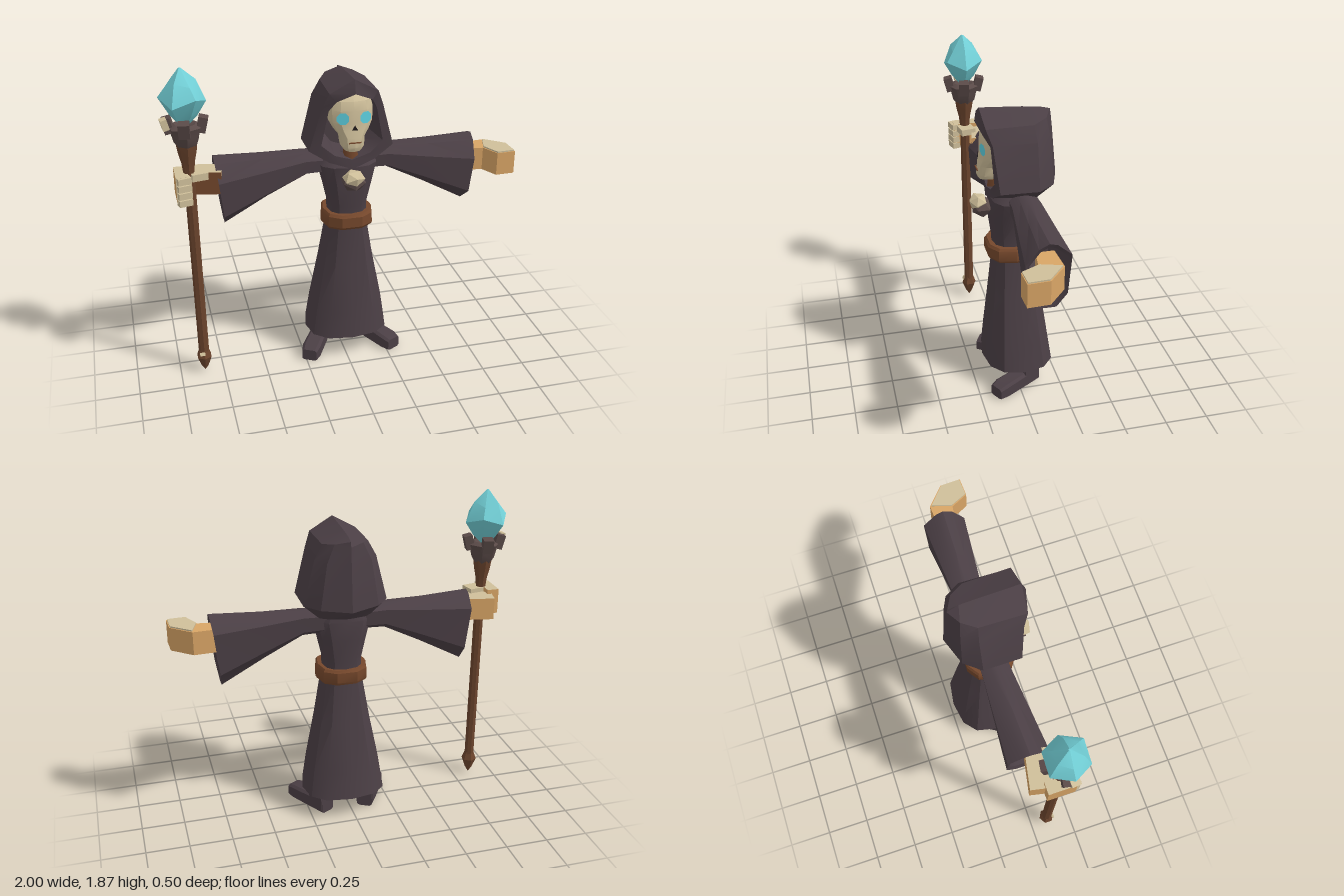
import * as THREE from 'three';
import { toCreasedNormals } from 'three/addons/utils/BufferGeometryUtils.js';

const CX = 0.03; // body centre line

function makeMaterial(name, color, side = THREE.FrontSide) {
  const m = new THREE.MeshStandardMaterial({ color, side });
  m.name = name;
  return m;
}

// Skin closed cross-section rings, optionally capped, always wound outward.
function loft(rings, { start = true, end = true, crease = 0.55 } = {}) {
  const n = rings[0].length, pos = rings.flat(2), idx = [];
  rings.slice(1).forEach((_, r) => {
    for (let i = 0; i < n; i++) {
      const a = r * n + i, b = r * n + (i + 1) % n;
      idx.push(a, b, a + n, b, b + n, a + n);
    }
  });
  const cap = (r, flip) => {
    const c = pos.length / 3;
    for (let k = 0; k < 3; k++) pos.push(rings[r].reduce((s, p) => s + p[k] / n, 0));
    for (let i = 0; i < n; i++) {
      const a = r * n + i, b = r * n + (i + 1) % n;
      idx.push(c, flip ? b : a, flip ? a : b);
    }
  };
  if (start) cap(0, true);
  if (end) cap(rings.length - 1, false);
  const v = i => new THREE.Vector3().fromArray(pos, i * 3);
  let volume = 0;
  for (let i = 0; i < idx.length; i += 3) volume += v(idx[i]).dot(v(idx[i + 1]).cross(v(idx[i + 2])));
  if (volume < 0) idx.reverse();
  const g = new THREE.BufferGeometry();
  g.setAttribute('position', new THREE.Float32BufferAttribute(pos, 3));
  g.setIndex(idx);
  return toCreasedNormals(g, crease);
}

// Horizontal rounded ring: height, half width, front z, back z.
function ring([y, w, zf, zb], n = 12) {
  const soft = t => Math.sign(t) * Math.abs(t) ** 0.8;
  return Array.from({ length: n }, (_, i) => {
    const a = i / n * Math.PI * 2;
    return [CX + w * soft(Math.cos(a)), y, (zf + zb) / 2 + (zf - zb) / 2 * soft(Math.sin(a))];
  });
}

// Complete a half outline (top to bottom) across the centre line.
const mirrorRing = half => [...half, ...half.slice(1, -1).reverse().map(([x, y, z]) => [-x, y, z])]
  .map(([x, y, z]) => [CX + x, y, z]);

const prism = (poly, y0, y1) => loft([y0, y1].map(y => poly.map(([x, z]) => [x, y, z])), { crease: 0.3 });

const lathe = (points, sides) => toCreasedNormals(
  new THREE.LatheGeometry(points.map(p => new THREE.Vector2(...p)), sides), 0.6);

export function createModel() {
  const model = new THREE.Group();
  const robe = makeMaterial('dark robe', 0x4b3f45, THREE.DoubleSide);
  const leather = makeMaterial('belt leather', 0x76482c);
  const wood = makeMaterial('staff wood', 0x6b442d);
  const bone = makeMaterial('pale bone', 0xcfbf9a);
  const tan = makeMaterial('tan bone', 0xd9a566);
  const stone = makeMaterial('dark stone', 0x5a4a48);
  const crystal = makeMaterial('crystal', 0x72cfd6);
  const glow = makeMaterial('eye glow', 0x5fd2e2);
  const black = makeMaterial('nose black', 0x211a1a);

  const add = (name, geometry, material, p = [0, 0, 0], r = [0, 0, 0], parent = model) => {
    const m = new THREE.Mesh(geometry, material);
    m.name = name;
    m.position.set(...p);
    m.rotation.set(...r);
    parent.add(m);
    return m;
  };
  const box = (name, size, material, p, r, parent) =>
    add(name, new THREE.BoxGeometry(...size), material, p, r, parent);

  // Robe from recessed hem to shoulders
  add('robe', loft([
    [0.2, 0.2, 0.14, -0.18], [0.14, 0.25, 0.19, -0.235], [0.3, 0.225, 0.175, -0.21],
    [0.6, 0.165, 0.145, -0.165], [0.86, 0.12, 0.12, -0.125], [0.98, 0.113, 0.125, -0.12],
    [1.12, 0.145, 0.145, -0.135], [1.23, 0.175, 0.14, -0.135], [1.31, 0.12, 0.08, -0.12],
  ].map(r => ring(r))), robe);
  add('belt', loft([[0.85, 0.145, 0.15, -0.14], [0.865, 0.153, 0.16, -0.147],
    [0.925, 0.15, 0.16, -0.147], [0.94, 0.14, 0.148, -0.137]].map(r => ring(r, 10))), leather);

  // Hood: lining, opening, outer rim, sides, back ridge
  add('hood', loft([
    [[0, 1.66, -0.04], [0.08, 1.63, -0.04], [0.12, 1.57, -0.04], [0.13, 1.4, -0.04], [0.08, 1.33, -0.04], [0, 1.3, -0.04]],
    [[0, 1.685, 0.21], [0.1, 1.64, 0.185], [0.135, 1.58, 0.15], [0.175, 1.38, 0.14], [0.1, 1.315, 0.145], [0, 1.285, 0.15]],
    [[0, 1.76, 0.185], [0.135, 1.685, 0.175], [0.17, 1.6, 0.145], [0.24, 1.345, 0.12], [0.13, 1.275, 0.14], [0, 1.23, 0.155]],
    [[0, 1.745, -0.05], [0.13, 1.685, -0.09], [0.175, 1.6, -0.1], [0.24, 1.34, -0.1], [0.15, 1.26, -0.1], [0, 1.24, -0.09]],
    [[0, 1.735, -0.15], [0.08, 1.7, -0.17], [0.125, 1.6, -0.185], [0.165, 1.34, -0.195], [0.1, 1.27, -0.16], [0, 1.25, -0.12]],
    [[0, 1.72, -0.21], [0, 1.69, -0.215], [0, 1.6, -0.225], [0, 1.33, -0.25], [0, 1.27, -0.18], [0, 1.25, -0.13]],
  ].map(mirrorRing), { end: false, crease: 0.45 }), robe);

  // Skull with eyes and nose
  add('skull', loft([[1.35, 0.05, 0.195, 0.06], [1.375, 0.066, 0.205, 0.04], [1.43, 0.072, 0.2, 0.02],
    [1.465, 0.1, 0.19, 0], [1.51, 0.124, 0.185, -0.02], [1.58, 0.128, 0.182, -0.02],
    [1.63, 0.118, 0.17, -0.02], [1.67, 0.08, 0.13, 0]].map(r => ring(r))), bone);
  add('neck', new THREE.CylinderGeometry(0.04, 0.045, 0.13, 6), leather, [CX, 1.31, 0.1]);
  add('nose', new THREE.CircleGeometry(0.02, 3, Math.PI / 2), black, [CX, 1.485, 0.196]);
  box('mouthLine', [0.07, 0.006, 0.006], leather, [CX, 1.405, 0.203]);

  // Flared sleeves and boots, one per side
  const sleeveShape = [[0.45, 0.93], [0, 1], [-0.35, 0.97], [-1, 0.8], [-0.92, 0.2], [-0.45, 0], [0.1, 0], [0.95, 0.2], [1, 0.7]];
  for (const s of [1, -1]) {
    const side = s > 0 ? 'left' : 'right';
    const rows = [ // distance, top, bottom, front z, back z, slant
      [0.06, 1.29, 1.16, 0.05, -0.1, 0], [0.24, 1.3, 1.155, 0.055, -0.107, 0],
      [0.48, 1.305, 1.045, 0.08, -0.12, 0.02], [0.755, 1.318, 0.91, 0.108, -0.135, 0.045],
      [0.745, 1.295, 0.94, 0.085, -0.115, 0.045], [0.5, 1.26, 1.1, 0.04, -0.08, 0],
    ];
    add(side + 'Sleeve', loft(rows.map(([d, top, low, zf, zb, slant]) => sleeveShape.map(([z, t]) => [
      CX + s * (d - slant * (1 - t)), low + (top - low) * t, (zf + zb) / 2 + z * (zf - zb) / 2]))), robe);

    const boot = new THREE.Group();
    boot.name = side + 'Boot';
    boot.position.set(CX + s * 0.145, 0, -0.06);
    boot.rotation.y = s * 0.5;
    model.add(boot);
    box('ankle', [0.1, 0.2, 0.11], robe, [0, 0.12, 0], [0, 0, 0], boot);
    const foot = [[-0.05, 0.085], [-0.035, 0.1], [0.035, 0.1], [0.05, 0.085], [0.05, 0.01], [0.035, 0], [-0.035, 0], [-0.05, 0.01]];
    add('foot', loft([[-0.06, 0.9, 1], [0.03, 1, 0.95], [0.2, 1.1, 0.85], [0.25, 0.9, 0.7]]
      .map(([z, w, h]) => foot.map(([x, y]) => [x * w, y * h, z]))), robe, [0, 0, 0], [0, 0, 0], boot);

    add(side + 'Eye', new THREE.CircleGeometry(0.036, 8, Math.PI / 8), glow, [CX + s * 0.064, 1.54, 0.181], [0, s * 0.25, 0]);
  }

  // Chest brooch: stone setting with a bone front and crown
  const setting = add('broochSetting', new THREE.IcosahedronGeometry(0.066, 0), stone, [CX, 1.165, 0.175]);
  setting.scale.set(1.1, 0.95, 1);
  const crown = add('broochCrown', new THREE.IcosahedronGeometry(0.055, 0), bone, [CX - 0.005, 1.195, 0.197], [0.3, 0.2, 0]);
  crown.scale.set(1.25, 0.85, 1);

  // Left hand: closed fist turned forward
  add('leftHand', prism([[0.72, -0.055], [0.88, -0.065], [0.995, 0.035], [1, 0.155], [0.89, 0.16], [0.84, 0.06], [0.72, 0.045]], 1.105, 1.24), tan);
  add('leftKnuckles', prism([[0.88, -0.055], [0.99, 0.038], [0.995, 0.15], [0.893, 0.156], [0.845, 0.055]], 1.24, 1.248), bone);

  // Right hand gripping the staff
  box('rightPalm', [0.22, 0.13, 0.12], [tan, tan, bone, tan, leather, tan], [-0.79, 1.195, 0.01], [0, -0.2, 0]);
  box('rightThumb', [0.09, 0.04, 0.09], bone, [-0.82, 1.265, 0.1], [0, 0.2, 0]);
  box('rightGrip', [0.07, 0.15, 0.16], [tan, tan, bone, tan, bone, tan], [-0.91, 1.21, 0.09]);
  for (let i = 0; i < 4; i++) box('rightFinger', [0.075, 0.036, 0.045], bone, [-0.903, 1.14 + i * 0.042, 0.165], [0, 0.25, 0]);

  // Staff
  const staff = new THREE.Group();
  staff.name = 'staff';
  staff.position.set(-0.857, 0, 0.1);
  staff.rotation.z = 0.008;
  model.add(staff);
  const o = [0, 0, 0];
  add('shaft', lathe([[0.03, 0.1], [0.03, 1.28], [0.036, 1.34], [0.05, 1.4], [0.06, 1.47], [0, 1.48]], 8), wood, o, o, staff);
  add('staffPoint', lathe([[0, 0], [0.022, 0.035], [0.046, 0.1], [0.03, 0.145], [0, 0.15]], 6), wood, o, o, staff);
  box('pointChip', [0.03, 0.02, 0.008], bone, [-0.012, 0.13, 0.034], [-0.5, 0, 0], staff);
  add('clawCup', lathe([[0.04, 1.42], [0.068, 1.46], [0.08, 1.51], [0.095, 1.55], [0.06, 1.565], [0, 1.54]], 7), stone, o, o, staff);
  for (let i = 0; i < 4; i++) {
    const a = i * Math.PI / 2 + 0.15, c = Math.cos(a), s = Math.sin(a);
    box('clawProng', [0.05, 0.085, 0.06], stone, [c * 0.09, 1.56, s * 0.09], [0, -a, -0.25], staff);
  }
  box('clawTip', [0.035, 0.06, 0.05], bone, [-0.108, 1.575, 0.015], [0, 0.1, 0.25], staff);

  // Irregular cut crystal
  const gemRing = (y, r, wobble, turn) => Array.from({ length: 6 }, (_, i) => {
    const a = (i + turn) * Math.PI / 3;
    return [r * Math.cos(a), y + wobble * (i % 2 ? 1 : -1), r * Math.sin(a)];
  });
  add('crystal', loft([gemRing(1.54, 0.008, 0, 0), gemRing(1.61, 0.072, 0.01, 0), gemRing(1.7, 0.125, 0.02, 0),
    gemRing(1.79, 0.078, -0.012, 0), gemRing(1.868, 0.006, 0, 0)], { crease: 0.5 }), crystal, [-0.005, 0, 0], o, staff);

  return model;
}
